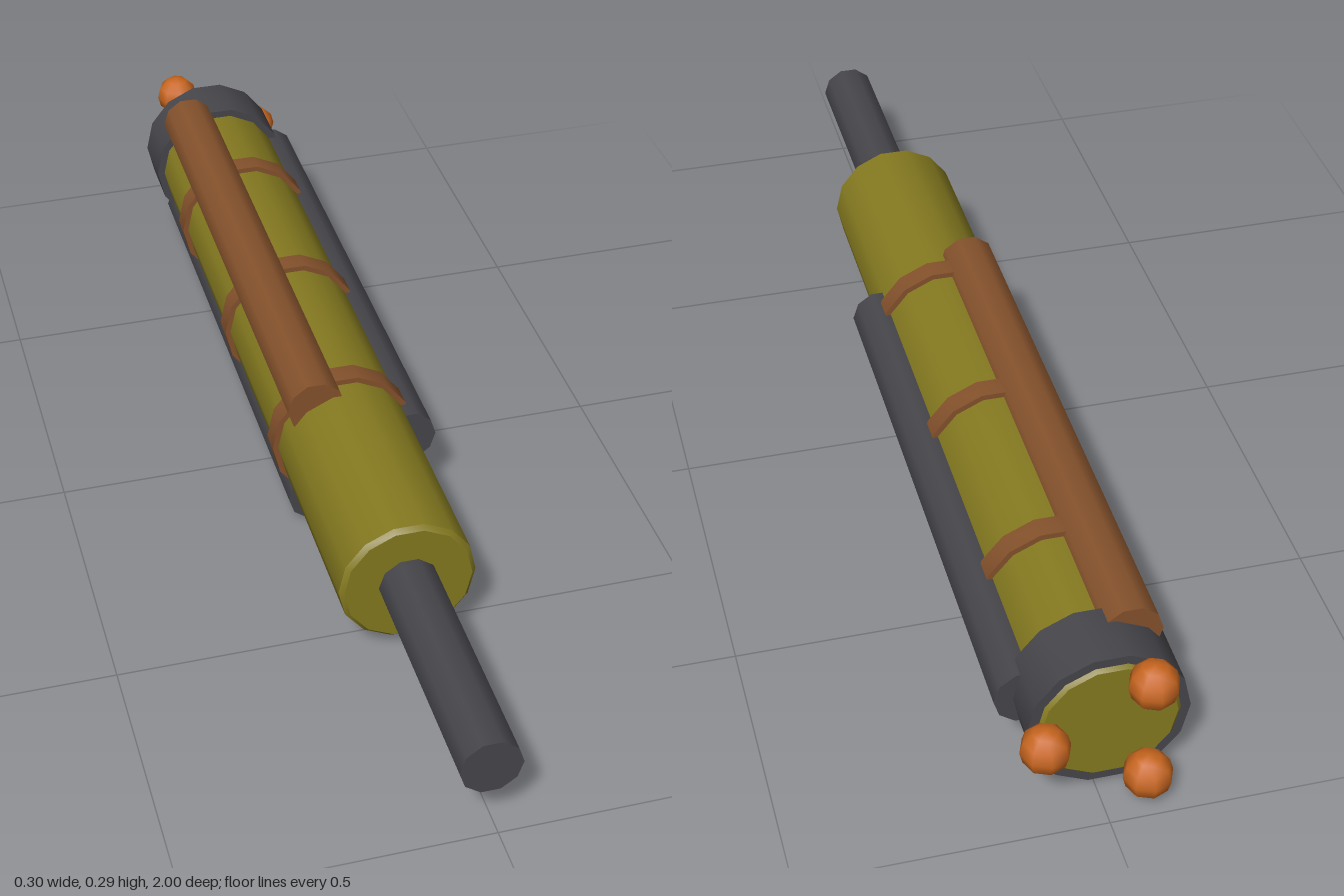
import * as THREE from 'three';
import { toCreasedNormals } from 'three/addons/utils/BufferGeometryUtils.js';

const CX = -0.016, CY = 0.146; // main axis of the barrel

export function createModel() {
  const group = new THREE.Group();
  const olive = new THREE.MeshStandardMaterial({ color: 0x857a20 });
  const darkGrey = new THREE.MeshStandardMaterial({ color: 0x46464b });
  const brown = new THREE.MeshStandardMaterial({ color: 0x85522c });
  const orange = new THREE.MeshStandardMaterial({ color: 0xc8661f });
  olive.name = 'olive';
  darkGrey.name = 'darkGrey';
  brown.name = 'brown';
  orange.name = 'orange';

  const add = (name, geometry, material, x = 0, y = 0, z = 0) => {
    const mesh = new THREE.Mesh(geometry, material);
    mesh.name = name;
    mesh.position.set(CX + x, CY + y, z);
    group.add(mesh);
  };

  // Turns a geometry built around y to run along z, with a corner on the x axis
  const alongZ = (geometry) => geometry.rotateY(Math.PI / 2).rotateX(Math.PI / 2);
  const rod = (radius, z0, z1, sides) =>
    alongZ(new THREE.CylinderGeometry(radius, radius, z1 - z0, sides)).translate(0, 0, (z0 + z1) / 2);
  const turned = (points) => toCreasedNormals(
    alongZ(new THREE.LatheGeometry(points.map(([r, z]) => new THREE.Vector2(r, z)), 14)), 0.6);
  const ring = (inner, outer, z0, z1) =>
    turned([[inner, z0], [outer, z0], [outer, z1], [inner, z1], [inner, z0]]);

  // Barrel with chamfered ends
  add('barrel', turned([
    [0, -0.928], [0.11, -0.928], [0.118, -0.92], [0.118, 0.557], [0.11, 0.565], [0, 0.565],
  ]), olive);
  add('frontRod', rod(0.0515, 0.54, 1, 10), darkGrey);
  add('rearCollar', ring(0.11, 0.132, -0.922, -0.812), darkGrey);

  // Bands around the barrel
  for (const z of [0.135, -0.233, -0.604]) {
    add('band', ring(0.112, 0.128, z - 0.02, z + 0.02), brown);
  }

  // Three side tubes, each with a ball behind it
  for (let i = 0; i < 3; i++) {
    const angle = i * Math.PI * 2 / 3;
    const x = Math.cos(angle) * 0.112, y = Math.sin(angle) * 0.112;
    add('sideTube', rod(0.0515, -0.845, 0.187, 10), i === 1 ? brown : darkGrey, x, y);
    add('rearBall', new THREE.SphereGeometry(0.041, 8, 6), orange, x, y, -0.958);
  }
  return group;
}
